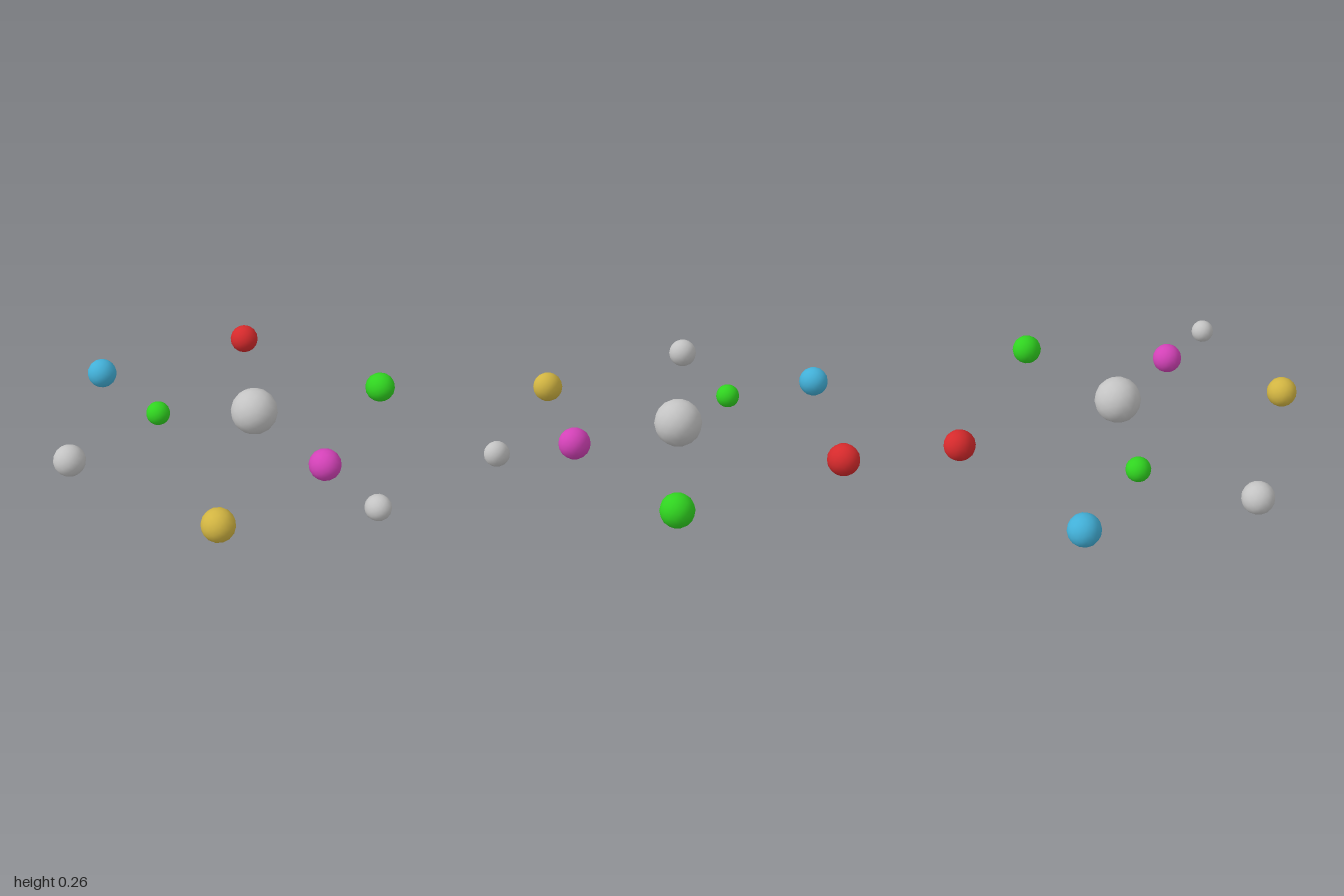
import * as THREE from 'three';

function paint(name, color) {
  const m = new THREE.MeshStandardMaterial({ color });
  m.name = name;
  return m;
}

export function createModel() {
  const group = new THREE.Group();
  group.name = 'ballSet';

  const grey = paint('light grey', 0xc4c4c4);
  const blue = paint('sky blue', 0x42b0d8);
  const red = paint('red', 0xd62a2c);
  const green = paint('green', 0x30d420);
  const magenta = paint('magenta', 0xd442b8);
  const yellow = paint('mustard yellow', 0xd2b542);

  // Three ball sizes share their geometry
  const ball = (r) => ({ r, geometry: new THREE.IcosahedronGeometry(r, 2) });
  const large = ball(0.131);
  const medium = ball(0.086);
  const small = ball(0.068);

  // Name, size, colour, x, z; every ball rests just on the ground
  const balls = [
    ['largeCentreBall', large, grey, 0.115, 0],
    ['redBall', medium, red, 0.145, -0.914],
    ['blueBall', medium, blue, -0.738, -0.56],
    ['greenBall', medium, green, 0.88, -0.265],
    ['greyBall', medium, grey, -0.885, 0.322],
    ['magentaBall', medium, magenta, 0.437, 0.47],
    ['yellowBall', medium, yellow, -0.15, 0.913],
    ['smallGreenBall', small, green, -0.415, -0.121],
    ['smallGreyBall', small, grey, 0.644, 0.822],
  ];
  for (const [name, size, material, x, z] of balls) {
    const mesh = new THREE.Mesh(size.geometry, material);
    mesh.name = name;
    mesh.position.set(x, size.r + 0.004, z);
    group.add(mesh);
  }
  return group;
}
